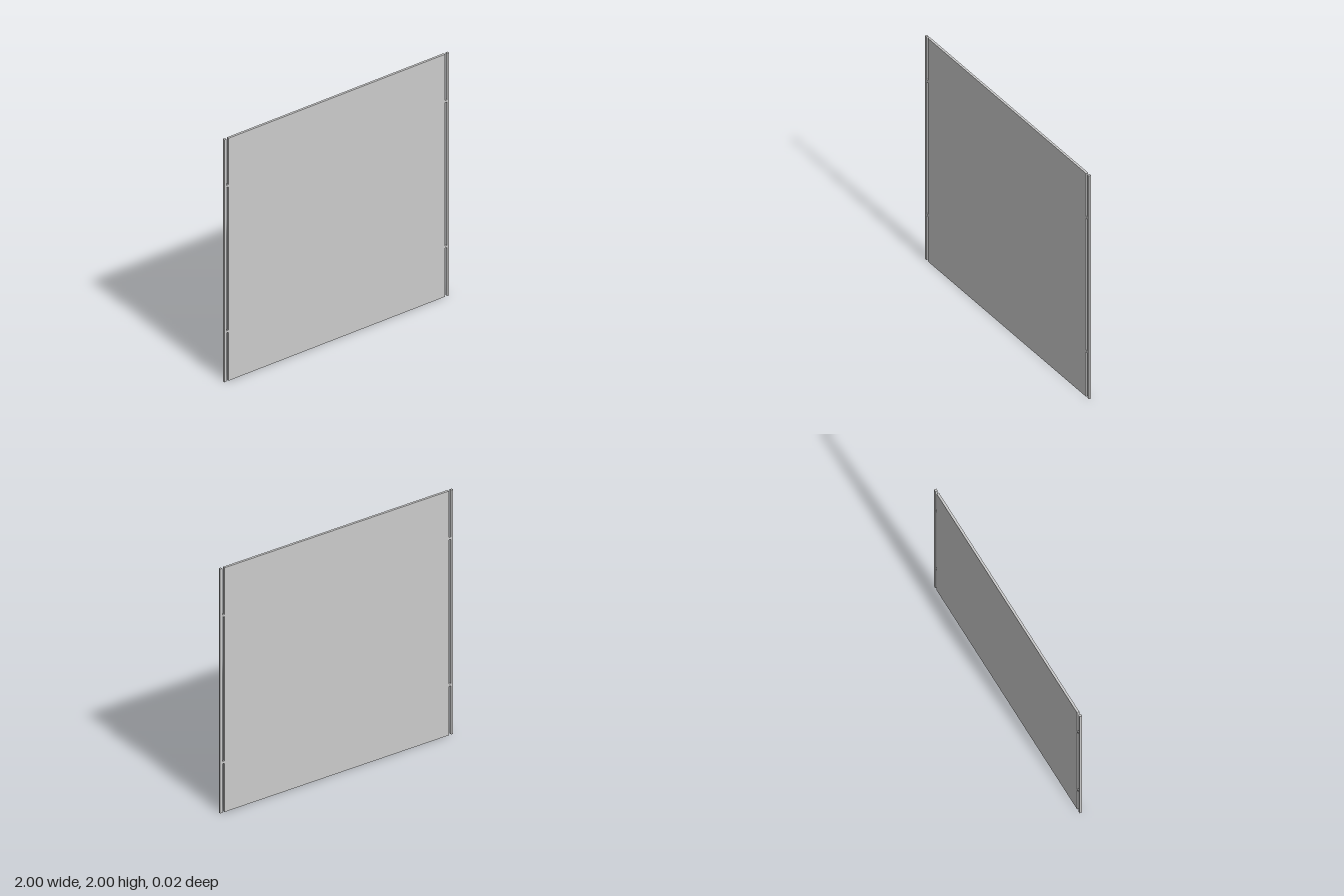
import * as THREE from 'three';

export function createModel() {
  const group = new THREE.Group();
  const material = new THREE.MeshStandardMaterial({ color: 0xcccccc });
  const depth = 0.018, postWidth = 0.018, panelHalf = 0.964;

  function addBox(name, w, h, d, x, y) {
    const mesh = new THREE.Mesh(new THREE.BoxGeometry(w, h, d), material);
    mesh.name = name;
    mesh.position.set(x, y, 0);
    group.add(mesh);
  }

  // Large flat board
  addBox('panel', panelHalf * 2, 2, depth, 0, 1);

  // Slim edge posts, each held off the board by two small spacers
  const gap = 1 - postWidth - panelHalf;
  for (const [side, s] of [['left', 1], ['right', -1]]) {
    addBox(side + 'Post', postWidth, 2, depth, s * (1 - postWidth / 2), 1);
    for (const [level, y] of [['Lower', 0.409], ['Upper', 1.609]]) {
      addBox(side + level + 'Spacer', gap, 0.018, depth, s * (panelHalf + gap / 2), y);
    }
  }
  return group;
}
